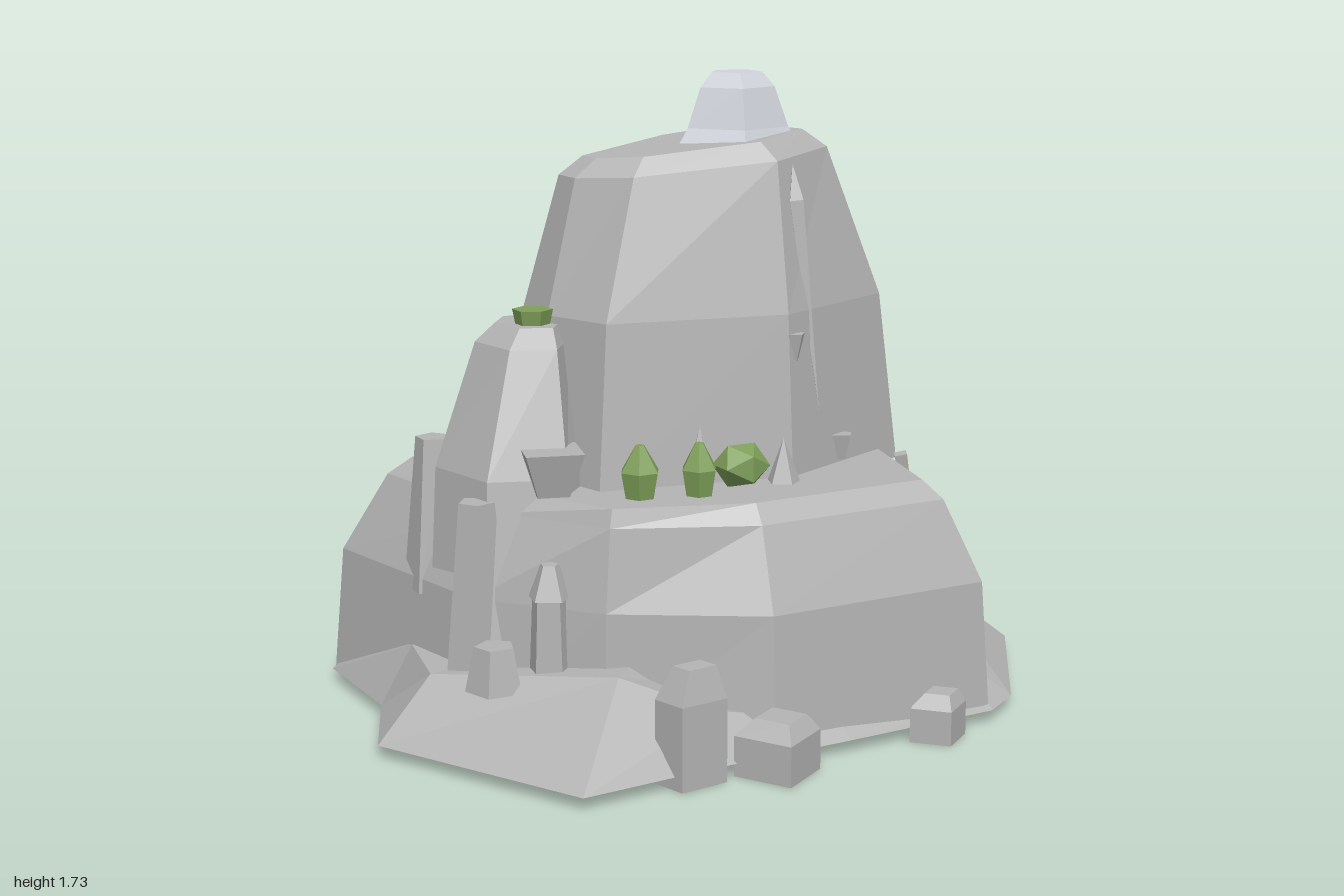
import * as THREE from 'three';

const mat = (name, color) => new THREE.MeshStandardMaterial({ name, color, flatShading: true, side: THREE.DoubleSide });

// Closed rings of [x, y, z] joined bottom to top; optional lid.
function loft(rings, lid = true) {
  const pos = [], n = rings[0].length;
  const tri = (...p) => p.forEach(v => pos.push(...v));
  for (let k = 0; k < rings.length - 1; k++) {
    for (let i = 0; i < n; i++) {
      const j = (i + 1) % n, a = rings[k], b = rings[k + 1];
      tri(a[i], b[i], a[j]);
      tri(a[j], b[i], b[j]);
    }
  }
  if (lid) {
    const top = rings[rings.length - 1];
    const c = [0, 1, 2].map(d => top.reduce((s, p) => s + p[d], 0) / n);
    top.forEach((p, i) => tri(c, top[(i + 1) % n], p));
  }
  const g = new THREE.BufferGeometry();
  g.setAttribute('position', new THREE.Float32BufferAttribute(pos, 3));
  g.computeVertexNormals();
  return g;
}

// Horizontal oval ring, ordered to suit loft.
const oval = (n, x, y, z, rx, rz, turn = 0) => Array.from({ length: n }, (_, i) => {
  const a = turn + i / n * Math.PI * 2;
  return [x + Math.cos(a) * rx, y, z + Math.sin(a) * rz];
});

export function createModel() {
  const model = new THREE.Group();
  const rock = mat('rock grey', 0xb4b4b4);
  const pale = mat('pale stone', 0xd0d3db);
  const green = mat('moss green', 0x7f9f5a);

  const add = (name, geometry, material) => {
    const m = new THREE.Mesh(geometry, material);
    m.name = name;
    model.add(m);
    return m;
  };
  // Tapered stone standing on (x, y, z)
  const stone = (name, material, [x, y, z], rTop, rBottom, h, sides = 5, turn = 0, tiltX = 0, tiltZ = 0) => {
    const g = new THREE.CylinderGeometry(rTop, rBottom, h, sides);
    g.rotateY(turn).translate(0, h / 2, 0);
    const m = add(name, g, material);
    m.position.set(x, y, z);
    m.rotation.set(tiltX, 0, tiltZ);
  };

  // Lower tier: x, z and how strongly each corner leans inwards
  const plan = [[-0.86, -0.55, 1], [-0.19, -0.72, 0.9], [0.69, -0.53, 1], [0.73, -0.05, 0.9],
    [0.57, 0.64, 1], [-0.11, 0.65, 1], [-0.48, 0.41, 0.35], [-0.74, 0.11, 0.9]];
  const tier = [[0.04, 1], [0.39, 0.97], [0.61, 0.84], [0.66, 0.77]].map(([y, s]) =>
    plan.map(([x, z, lean]) => [x * (1 - (1 - s) * lean), y, z * (1 - (1 - s) * lean)]));
  add('lowerTier', loft(tier), rock);

  // Sloping ground skirt: flat underside, outer rim, then inner ridge heights
  const rim = [[-0.87, -0.55], [-0.62, -0.68], [-0.11, -0.84], [0.28, -0.67], [0.75, -0.57], [0.8, -0.25],
    [1, 0.12], [0.69, 0.58], [0.57, 0.66], [0.1, 0.68], [-0.3, 0.69], [-0.7, 0.72], [-1, 0.12], [-0.87, -0.18]];
  const ridge = [0.1, 0.07, 0.07, 0.07, 0.07, 0.1, 0.25, 0.13, 0.06, 0.08, 0.15, 0.25, 0.2, 0.2];
  const inner = [0.94, 0.9, 0.84, 0.9, 0.9, 0.85, 0.73, 0.85, 0.92, 0.92, 0.86, 0.7, 0.84, 0.9];
  add('groundSkirt', loft([
    rim.map(([x, z]) => [x * 0.8, 0.05, z * 0.8]),
    rim.map(([x, z]) => [x, 0.035, z]),
    rim.map(([x, z], i) => [x * inner[i], ridge[i], z * inner[i]]),
    rim.map(([x, z], i) => [x * 0.58, ridge[i], z * 0.58]),
  ], false), rock);

  // Upper tier with a slightly tilted top
  const low = [[-0.44, -0.24], [0.05, -0.42], [0.5, -0.37], [0.62, 0.09], [0.15, 0.3], [-0.39, 0.2], [-0.45, -0.04]];
  const high = [[-0.33, -0.15], [0.05, -0.3], [0.34, -0.29], [0.4, 0.05], [0.17, 0.17], [-0.22, 0.08], [-0.33, -0.05]];
  const tilt = x => 0.08 * x;
  add('upperTier', loft([
    low.map(([x, z]) => [x, 0.62, z]),
    low.map(([x, z], i) => [x + (high[i][0] - x) * 0.26, 1.1, z + (high[i][1] - z) * 0.32]),
    high.map(([x, z]) => [x, 1.49 + tilt(x), z]),
    high.map(([x, z]) => [0.03 + (x - 0.03) * 0.82, 1.54 + tilt(x), -0.07 + (z + 0.07) * 0.8]),
  ]), rock);

  // Pale summit cap
  add('summitCap', loft([[1.5, 0.2, 0.18], [1.58, 0.15, 0.14], [1.69, 0.11, 0.105], [1.73, 0.075, 0.07]]
    .map(([y, rx, rz]) => oval(5, 0.17, y, -0.06, rx, rz, 0.63))), pale);

  // Left shoulder pillar with moss on top
  add('leftPillar', loft([
    oval(6, -0.53, 0.1, 0, 0.25, 0.28, 0.3), oval(6, -0.52, 0.7, -0.05, 0.21, 0.24, 0.3),
    oval(6, -0.48, 1.03, -0.08, 0.12, 0.17, 0.3), oval(6, -0.46, 1.08, -0.08, 0.085, 0.12, 0.3),
  ]), rock);
  stone('pillarMoss', green, [-0.46, 1.07, -0.05], 0.055, 0.045, 0.05, 6);

  // Pale arched slab on the right flank and its twin sheet on the back
  const flat = Math.PI / 8;
  add('rightSlab', loft([
    oval(8, 0.5, 0.62, -0.12, 0.13, 0.16, flat), oval(8, 0.46, 1, -0.12, 0.125, 0.145, flat),
    oval(8, 0.43, 1.14, -0.11, 0.11, 0.12, flat), oval(8, 0.42, 1.2, -0.1, 0.09, 0.075, flat),
  ]), pale);
  add('backSheet', loft([
    oval(6, -0.19, 0.64, -0.34, 0.05, 0.035), oval(6, -0.19, 0.95, -0.31, 0.05, 0.03),
    oval(6, -0.21, 1.14, -0.28, 0.025, 0.025),
  ]), pale);

  // Long rock slivers
  stone('backSliver', rock, [-0.25, 0.64, -0.33], 0.035, 0.035, 0.48, 4, 0.4, 0.11);
  stone('backSliverTip', rock, [-0.25, 1.11, -0.275], 0, 0.045, 0.12, 4, 0.4, 0.16);
  stone('frontSliver', rock, [0.26, 0.82, 0.25], 0.026, 0, 0.58, 4, 0.3, -0.14, 0.05);
  stone('frontSliverTip', rock, [0.231, 1.394, 0.169], 0, 0.026, 0.1, 4, 0.3, -0.14, 0.05);
  stone('flankSliver', rock, [0.67, 0.34, 0.14], 0.025, 0, 0.31, 4, 0.3, 0, 0.22);
  stone('slabSliver', rock, [0.59, 0.63, 0.03], 0.02, 0.03, 0.48, 4, 0.3, -0.05, 0.13);

  // Ledge and left flank stones: position, top radius, bottom radius, height, sides, turn
  [
    ['slabKnob', [0.53, 1.08, -0.02], 0.06, 0.03, 0.08, 5, 0.4],
    ['slabKnobTop', [0.53, 1.16, -0.02], 0.025, 0.06, 0.03, 5, 0.4],
    ['ledgeWedge', [-0.51, 0.66, 0.16], 0.11, 0.06, 0.12, 4, 0.5],
    ['leftColumn', [-0.7, 0.35, -0.18], 0.05, 0.09, 0.42, 5, 0.3],
    ['leftLowColumn', [-0.7, 0.2, 0.1], 0.05, 0.09, 0.45, 5, 0.9],
    ['leftSpur', [-0.58, 0.2, 0.29], 0.05, 0.06, 0.22, 5, 0.1],
    ['leftSpurTip', [-0.58, 0.42, 0.29], 0.025, 0.06, 0.09, 5, 0.1],
    ['leftBoulder', [-0.72, 0.18, 0.25], 0.055, 0.08, 0.12, 5, 0.6],
    ['backStone', [-0.05, 0.06, -0.68], 0.05, 0.06, 0.12, 4, 0.5],
    ['frontChip', [0.18, 0.97, 0.25], 0.03, 0.01, 0.075, 5, 0.2],
    ['ledgeChip', [0.36, 0.67, 0.21], 0.035, 0.015, 0.07, 4, 0.2],
    ['ledgeSpikeRight', [0.1, 0.65, 0.33], 0, 0.05, 0.13, 5, 0],
    ['ledgeSpikeLeft', [-0.13, 0.65, 0.28], 0, 0.05, 0.18, 4, 0.3],
  ].forEach(([name, p, rt, rb, h, n, turn]) => stone(name, rock, p, rt, rb, h, n, turn));

  // Fallen stones at the foot, each with a bevelled top
  [[-0.37, 0.67, 0.1, 0.07, 0.31, 0.6], [-0.14, 0.71, 0.115, 0.12, 0.15, 0.25], [0.37, 0.69, 0.085, 0.075, 0.13, 0.1]]
    .forEach(([x, z, rx, rz, h, turn]) => add('footStone', loft([
      oval(4, x, 0, z, rx, rz, turn), oval(4, x, h * 0.72, z, rx, rz, turn),
      oval(4, x + 0.01, h, z, rx * 0.6, rz * 0.6, turn),
    ]), rock));

  // Green buds on the ledge
  [[-0.32, 0.3, 0.055], [-0.17, 0.35, 0.05]].forEach(([x, z, r]) => add('greenBud', loft([
    oval(6, x, 0.655, z, r * 0.75, r * 0.75), oval(6, x, 0.73, z, r, r), oval(6, x, 0.8, z, 0.012, 0.012),
  ]), green));
  const ball = add('greenBall', new THREE.IcosahedronGeometry(0.078, 0), green);
  ball.position.set(-0.02, 0.715, 0.31);
  ball.scale.set(1, 0.85, 1);

  // Upright rubble packed inside the hollow base
  let seed = 7;
  const rnd = () => (seed = seed * 16807 % 2147483647) / 2147483647;
  for (let i = 0; i < 40; i++) {
    const a = i * 2.4, r = 0.55 * Math.sqrt(i / 40);
    const m = add('rubble', new THREE.BoxGeometry(0.19, 0.24, 0.17), rock);
    m.position.set(Math.cos(a) * r - 0.03, 0.2 + rnd() * 0.12, Math.sin(a) * r * 0.8 - 0.02);
    m.rotation.set(rnd() * 0.6, rnd() - 0.5, rnd() * 0.6 - 0.3);
  }
  return model;
}
